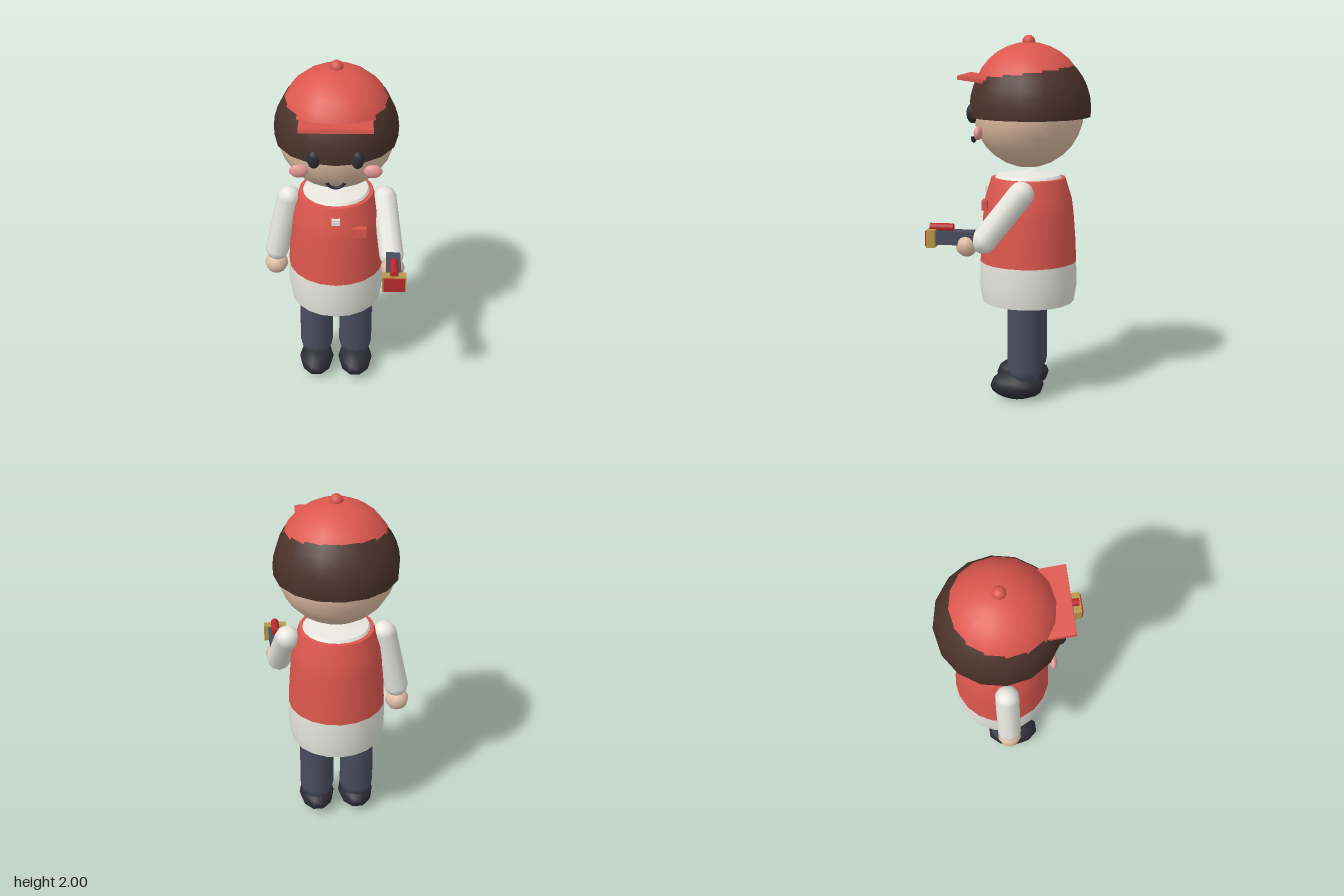
import * as THREE from 'three';

const mat = (name, color, side = THREE.FrontSide) => {
  const m = new THREE.MeshStandardMaterial({ color, side });
  m.name = name;
  return m;
};

export function createModel() {
  const red = mat('coral red', 0xdc574e);
  const hairBrown = mat('hair brown', 0x4a3229, THREE.DoubleSide);
  const skin = mat('skin', 0xe3c0a6);
  const white = mat('shirt white', 0xe9e9e1);
  const navy = mat('slate navy', 0x484d5e);
  const black = mat('soft black', 0x2c2c35);
  const pink = mat('cheek pink', 0xe59a98);
  const gold = mat('gold', 0xb8984a);
  const crimson = mat('crimson', 0xb8292d);

  const model = new THREE.Group();
  const CX = 0.013, CZ = -0.08; // body axis

  const add = (name, geometry, material, x, y, z) => {
    const mesh = new THREE.Mesh(geometry, material);
    mesh.name = name;
    mesh.position.set(x, y, z);
    model.add(mesh);
    return mesh;
  };
  const ball = (name, material, x, y, z, rx, ry = rx, rz = rx, seg = 12, rows = 8) => {
    const mesh = add(name, new THREE.SphereGeometry(1, seg, rows), material, x, y, z);
    mesh.scale.set(rx, ry, rz);
    return mesh;
  };
  const box = (name, material, x, y, z, w, h, d) =>
    add(name, new THREE.BoxGeometry(w, h, d), material, x, y, z);
  // Capsule between two joint centres
  const limb = (name, material, a, b, r, seg = 10) => {
    const p = new THREE.Vector3(...a), q = new THREE.Vector3(...b);
    const dir = q.clone().sub(p);
    const mesh = add(name, new THREE.CapsuleGeometry(r, dir.length(), 4, seg), material, 0, 0, 0);
    mesh.position.copy(p).add(q).multiplyScalar(0.5);
    mesh.quaternion.setFromUnitVectors(new THREE.Vector3(0, 1, 0), dir.normalize());
    return mesh;
  };
  const lathe = (name, material, points) =>
    add(name, new THREE.LatheGeometry(points.map(p => new THREE.Vector2(...p)), 20), material, CX, 0, CZ);

  // Head, hair and cap
  ball('head', skin, CX, 1.605, CZ, 0.317, 0.317, 0.302, 20, 14);
  add('hair', new THREE.SphereGeometry(0.332, 16, 10, 0, Math.PI * 2, 0, Math.PI * 0.543),
    hairBrown, CX, 1.61, -0.087);
  add('capCrown', new THREE.SphereGeometry(0.308, 16, 8, 0, Math.PI * 2, 0, Math.PI / 2),
    red, CX, 1.655, -0.081);
  ball('capButton', red, CX, 1.964, CZ, 0.036, 0.036, 0.036, 10, 8);
  box('capBrim', red, CX, 1.766, 0.175, 0.377, 0.022, 0.2).rotation.x = -0.14;

  // Face
  for (const side of [-1, 1]) {
    ball('eye', black, CX + side * 0.112, 1.587, 0.207, 0.036, 0.054, 0.034);
    ball('cheek', pink, CX + side * 0.192, 1.489, 0.163, 0.05, 0.038, 0.022);
  }
  const mouth = add('mouth', new THREE.TorusGeometry(0.05, 0.009, 6, 14, Math.PI * 0.78),
    black, CX, 1.474, 0.222);
  mouth.rotation.z = Math.PI * 1.11;

  // Torso: shirt skirt, vest and shirt neck
  lathe('shirtHem', white, [[0, 0.545], [0.255, 0.545], [0.255, 0.545], [0.27, 0.64], [0.267, 0.77]]);
  lathe('vest', red, [[0.267, 0.768], [0.261, 0.9], [0.25, 1.04], [0.24, 1.12], [0.205, 1.232],
    [0.205, 1.232], [0.17, 1.236]]);
  lathe('shirtNeck', white, [[0.19, 1.225], [0.175, 1.248], [0.175, 1.248], [0, 1.272]]);
  box('vestPocket', red, 0.14, 1.095, 0.137, 0.078, 0.055, 0.03);
  box('collarTab', white, CX, 1.163, 0.14, 0.045, 0.035, 0.03);

  // Lowered right arm, bent left arm
  limb('rightArm', white, [-0.248, 1.18, CZ], [-0.321, 0.835, CZ], 0.066);
  ball('rightHand', skin, -0.328, 0.742, CZ, 0.066, 0.066, 0.066, 10, 8);
  limb('leftArm', white, [0.278, 1.178, -0.078], [0.318, 0.93, 0.115], 0.068);
  ball('leftHand', skin, 0.322, 0.91, 0.205, 0.066, 0.064, 0.06, 10, 8);

  // Hand-held tool
  box('toolBody', navy, 0.324, 0.948, 0.27, 0.077, 0.072, 0.21);
  box('toolHead', gold, 0.324, 0.946, 0.387, 0.127, 0.094, 0.046);
  box('toolFace', crimson, 0.324, 0.946, 0.414, 0.113, 0.08, 0.008);
  add('toolRoller', new THREE.CylinderGeometry(0.022, 0.022, 0.125, 12), crimson, 0.324, 1.0, 0.338)
    .rotation.x = Math.PI / 2;

  // Legs and shoes
  for (const side of [-1, 1]) {
    const x = CX + side * 0.115;
    limb('leg', navy, [x, 0.18, -0.078], [x, 0.58, -0.078], 0.096, 12);
    ball('shoe', black, x, 0.08, -0.035, 0.101, 0.08, 0.153, 10, 8);
  }
  return model;
}
